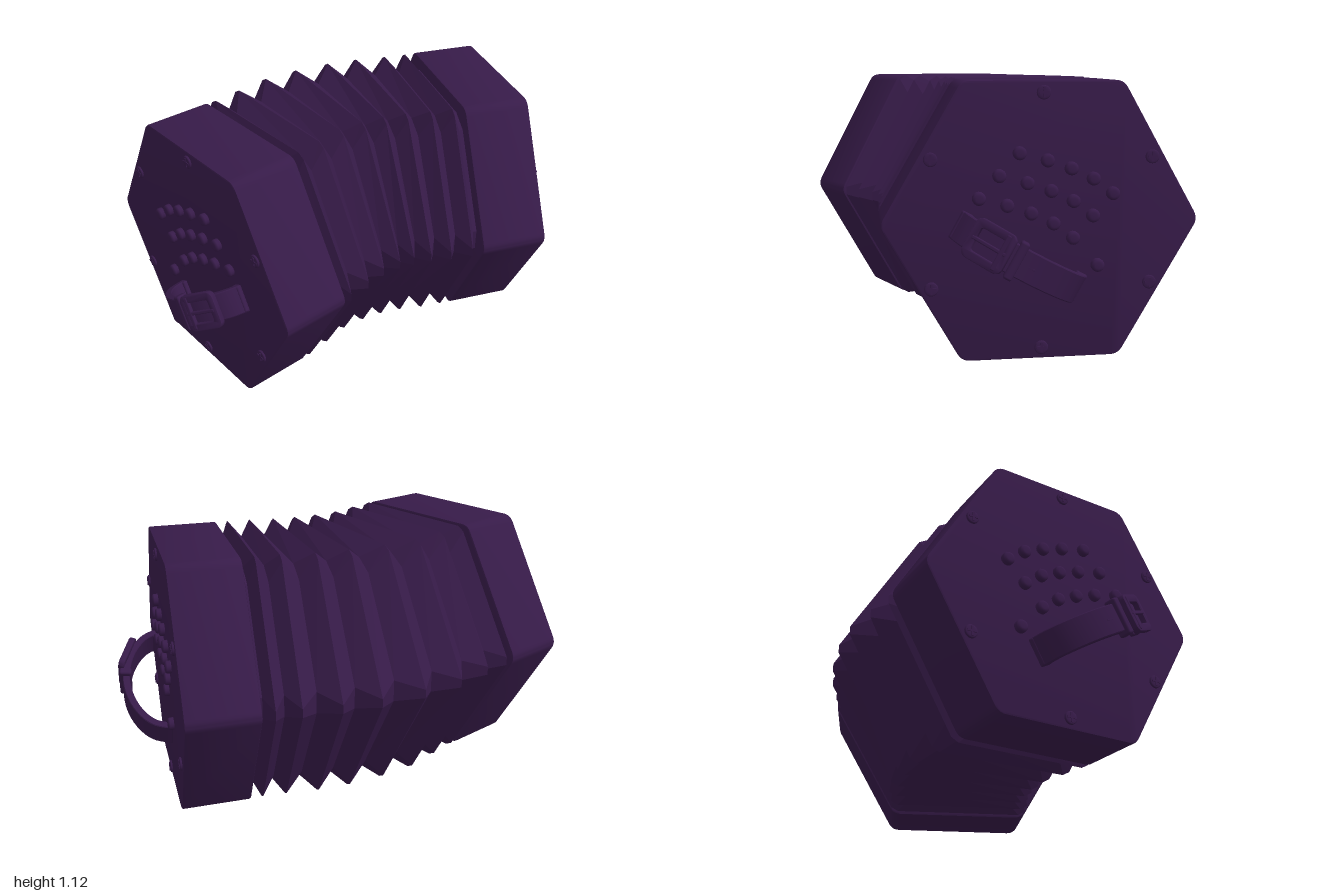
import * as THREE from 'three';
import { toCreasedNormals } from 'three/addons/utils/BufferGeometryUtils.js';
import { RoundedBoxGeometry } from 'three/addons/geometries/RoundedBoxGeometry.js';

const material = new THREE.MeshStandardMaterial({ color: 0x371b49 });
const rad = THREE.MathUtils.degToRad;
const MID = 0.558;   // height of the hexagon centre
const R = 0.645;     // hexagon corner radius

function add(parent, name, geometry, x = 0, y = 0, z = 0) {
  const mesh = new THREE.Mesh(geometry, material);
  mesh.name = name;
  mesh.position.set(x, y, z);
  parent.add(mesh);
  return mesh;
}

// Hexagon as 12 points: each corner is cut at distance c along its sides
function hexPoints(r, c) {
  const corner = (k) => new THREE.Vector2(r * Math.cos(k * Math.PI / 3), r * Math.sin(k * Math.PI / 3));
  const pts = [];
  for (let k = 0; k < 6; k++) {
    pts.push(corner(k).lerp(corner(k + 5), c / r), corner(k).lerp(corner(k + 1), c / r));
  }
  return pts;
}

// Hexagonal end box with softened corners; its outer face lies on z = 0
function endBoxGeometry() {
  const bevel = 0.007, r = R - bevel * 1.155;
  const pts = hexPoints(r, 0.03);
  const shape = new THREE.Shape();
  for (let k = 0; k < 6; k++) {
    const a = k * Math.PI / 3, p = pts[2 * k], q = pts[2 * k + 1];
    if (k === 0) shape.moveTo(p.x, p.y); else shape.lineTo(p.x, p.y);
    shape.quadraticCurveTo(r * Math.cos(a), r * Math.sin(a), q.x, q.y);
  }
  const g = new THREE.ExtrudeGeometry(shape, {
    depth: 0.306 - 2 * bevel, bevelThickness: bevel, bevelSize: bevel, bevelSegments: 2, curveSegments: 5,
  });
  g.translate(0, 0, bevel - 0.306);
  return toCreasedNormals(g, 0.5);
}

// Turned knob with a softly domed top, pointing along +z
function knobGeometry(r, h) {
  const profile = [[r, -0.01], [r, h * 0.65], [r * 0.85, h * 0.9], [r * 0.5, h], [0, h]];
  const g = new THREE.LatheGeometry(profile.map(([x, y]) => new THREE.Vector2(x, y)), 16);
  return g.rotateX(Math.PI / 2);
}

// Rectangle path with rounded corners, used for the buckle outline and hole
function roundedRect(path, w, h, r) {
  const x = w / 2 - r, y = h / 2 - r;
  path.absarc(x, y, r, 0, Math.PI / 2);
  path.absarc(-x, y, r, Math.PI / 2, Math.PI);
  path.absarc(-x, -y, r, Math.PI, Math.PI * 1.5);
  path.absarc(x, -y, r, Math.PI * 1.5, Math.PI * 2);
  return path;
}

// Arched hand strap with buckle; m = -1 mirrors it
function createStrap(m) {
  const strap = new THREE.Group();
  strap.name = 'handStrap';
  const width = 0.12, t = 0.026;
  const curve = new THREE.CatmullRomCurve3([
    [-0.275, -0.01], [-0.25, 0.05], [-0.215, 0.09], [-0.14, 0.137], [-0.04, 0.165],
    [0.07, 0.163], [0.17, 0.13], [0.24, 0.075], [0.275, -0.01],
  ].map(([s, h]) => new THREE.Vector3(s * m, h, 0)));
  const side = (k) => curve.getPoints(28).map((p, i) => {
    const d = curve.getTangent(i / 28);
    return new THREE.Vector2(p.x - d.y * k, p.y + d.x * k);
  });
  const band = new THREE.Shape([...side(t / 2), ...side(-t / 2).reverse()]);
  const g = new THREE.ExtrudeGeometry(band, {
    depth: width - 0.008, bevelThickness: 0.004, bevelSize: 0.003, bevelSegments: 1,
  });
  g.translate(0, 0, 0.004 - width / 2);
  g.rotateX(Math.PI / 2);
  add(strap, 'strapBand', toCreasedNormals(g, 0.6));

  // Buckle: frame, prong and cross bar riding on the sloping part of the band
  const buckle = new THREE.Group();
  buckle.name = 'buckle';
  buckle.position.set(-0.16 * m, 0, 0.147);
  buckle.rotation.y = -rad(25) * m;
  strap.add(buckle);
  const frame = roundedRect(new THREE.Shape(), 0.17, 0.158, 0.025);
  frame.holes.push(roundedRect(new THREE.Path(), 0.12, 0.105, 0.012));
  const frameGeometry = new THREE.ExtrudeGeometry(frame, {
    depth: 0.018, bevelThickness: 0.005, bevelSize: 0.004, bevelSegments: 2, curveSegments: 4,
  });
  add(buckle, 'buckleFrame', toCreasedNormals(frameGeometry, 0.6), 0, 0, -0.008);
  add(buckle, 'buckleProng', new RoundedBoxGeometry(0.15, 0.016, 0.014, 2, 0.005), 0, 0, 0.01);
  add(buckle, 'buckleBar', new RoundedBoxGeometry(0.02, 0.15, 0.02, 2, 0.006), 0.055 * m, 0, 0.008);

  // Keeper loop, strap slots and flat anchor tabs
  const keeper = add(strap, 'keeperLoop', new RoundedBoxGeometry(0.036, 0.16, 0.054, 2, 0.01), -0.045 * m, 0, 0.168);
  keeper.rotation.y = -rad(10) * m;
  for (const [s, h, tilt] of [[0.02, 0.181, 0], [0.1, 0.168, 12]]) {
    const slot = add(strap, 'strapSlot', new RoundedBoxGeometry(0.03, 0.009, 0.006, 1, 0.002), s * m, 0, h);
    slot.rotation.y = rad(tilt) * m;
  }
  for (const s of [-0.262, 0.262]) {
    add(strap, 'strapAnchor', new RoundedBoxGeometry(0.05, width, 0.03, 2, 0.008), s * m, 0, 0.005);
  }
  strap.position.set(-0.095 * m, -0.135, 0);
  strap.rotation.z = -rad(29) * m;
  return strap;
}

// One complete end, outer face towards local +z
function createEnd(name, m) {
  const end = new THREE.Group();
  end.name = name;
  add(end, 'endBox', endBoxGeometry());

  // Three slanting, slightly bowed rows of buttons and one thumb button
  const button = knobGeometry(0.027, 0.026);
  const row = [[0, 0], [0.112, -0.03], [0.208, -0.063], [0.298, -0.105], [0.378, -0.165]];
  for (let r = 0; r < 3; r++) {
    for (const [u, v] of row) {
      add(end, 'button', button, (-0.095 - 0.08 * r + u) * m, 0.277 - 0.088 * r + v, 0);
    }
  }
  add(end, 'thumbButton', button, 0.225 * m, -0.178, 0);

  // Six cross-head screws around the rim
  const head = knobGeometry(0.028, 0.01);
  for (let k = 0; k < 6; k++) {
    const a = rad(30 + 60 * k);
    const screw = new THREE.Group();
    screw.name = 'screw';
    screw.position.set(0.512 * Math.cos(a), 0.512 * Math.sin(a), 0);
    add(screw, 'screwHead', head);
    add(screw, 'screwCross', new THREE.BoxGeometry(0.04, 0.009, 0.012), 0, 0, 0.007);
    add(screw, 'screwCross', new THREE.BoxGeometry(0.009, 0.04, 0.012), 0, 0, 0.007);
    end.add(screw);
  }
  end.add(createStrap(m));
  return end;
}

// Pleated bellows: peak and valley hexagons along a bending centre line
function bellowsGeometry() {
  // x, z and turn in degrees of each peak
  const peaks = [
    [-0.425, 0.058, 23.6], [-0.313, -0.008, 22], [-0.185, -0.085, 18.5], [-0.05, -0.125, 13.7],
    [0.085, -0.147, 7.6], [0.21, -0.15, 3.6], [0.338, -0.138, 0.3], [0.4425, -0.135, 0],
  ];
  const rings = [];
  const ring = ([x, z, deg], r, c) => {
    const s = Math.sin(rad(deg)), k = Math.cos(rad(deg));
    rings.push(hexPoints(r, c).map((p) => [x + p.x * s, MID + p.y, z + p.x * k]));
  };
  const valley = (p) => ring(p, 0.575, 0.055);
  valley([-0.48, 0.08, 24]);
  valley([-0.452, 0.07, 24]);
  peaks.forEach((p, i) => {
    ring(p, R, 0.022);
    const next = peaks[i + 1];
    if (next) valley(p.map((v, j) => (v + next[j]) / 2));
  });
  valley([0.478, -0.135, 0]);
  valley([0.51, -0.135, 0]);

  const pos = [];
  for (let i = 0; i + 1 < rings.length; i++) {
    for (let j = 0; j < 12; j++) {
      const n = (j + 1) % 12;
      const a = rings[i][j], b = rings[i + 1][j], c = rings[i + 1][n], d = rings[i][n];
      pos.push(...a, ...b, ...c, ...a, ...c, ...d);
    }
  }
  const g = new THREE.BufferGeometry();
  g.setAttribute('position', new THREE.Float32BufferAttribute(pos, 3));
  g.computeVertexNormals();
  return g;
}

export function createModel() {
  const model = new THREE.Group();
  model.name = 'concertina';

  const leftEnd = createEnd('leftEnd', 1);
  leftEnd.position.set(0.802, MID, -0.135);
  leftEnd.rotation.y = Math.PI / 2;

  const rightEnd = createEnd('rightEnd', -1);
  rightEnd.position.set(-0.74, MID, 0.1975);
  rightEnd.rotation.y = -rad(66);

  model.add(leftEnd, rightEnd);
  add(model, 'bellows', bellowsGeometry());
  return model;
}
